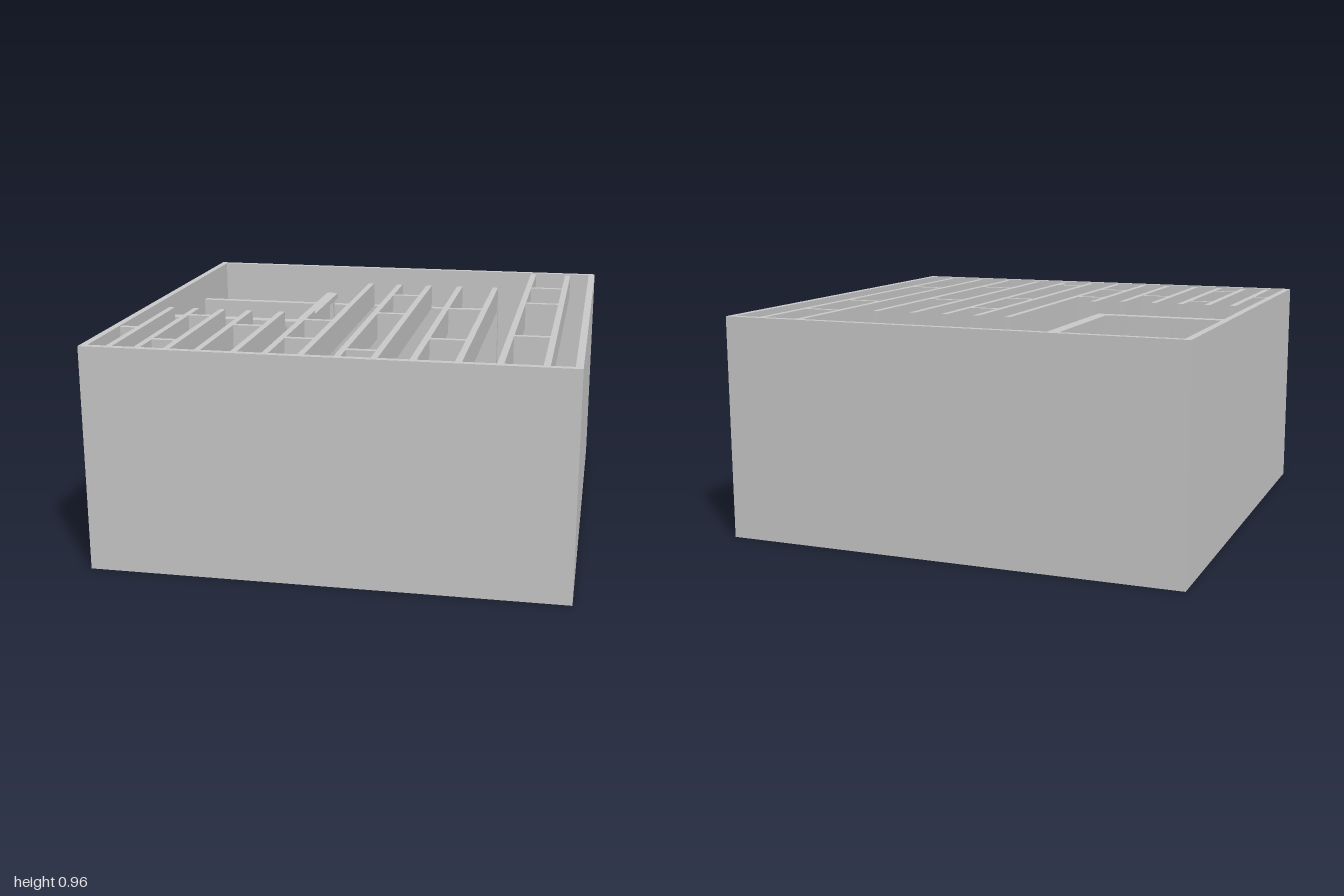
import * as THREE from 'three';

const mat = new THREE.MeshStandardMaterial({ color: 0xcccccc, flatShading: true, side: THREE.DoubleSide });

function add(parent, name, geometry) {
  const mesh = new THREE.Mesh(geometry, mat);
  mesh.name = name;
  parent.add(mesh);
  return mesh;
}

// Box given by its extents along each axis
function span(parent, name, x0, x1, y0, y1, z0, z1) {
  const m = add(parent, name, new THREE.BoxGeometry(x1 - x0, y1 - y0, z1 - z0));
  m.position.set((x0 + x1) / 2, (y0 + y1) / 2, (z0 + z1) / 2);
  return m;
}

function group(parent, name) {
  const g = new THREE.Group();
  g.name = name;
  parent.add(g);
  return g;
}

const FLOOR = 0.04, TOP = 0.96, CEILING = 0.84, IN = 0.97;

export function createModel() {
  const model = new THREE.Group();
  model.name = 'basement';

  // Outer shell: four walls as one ring, and the floor slab
  const ring = new THREE.Shape([[-1, -1], [1, -1], [1, 1], [-1, 1]].map(p => new THREE.Vector2(...p)));
  ring.holes.push(new THREE.Path([[-IN, -IN], [-IN, IN], [IN, IN], [IN, -IN]].map(p => new THREE.Vector2(...p))));
  const walls = new THREE.ExtrudeGeometry(ring, { depth: TOP, bevelEnabled: false });
  add(model, 'outerWalls', walls.rotateX(-Math.PI / 2));
  span(model, 'floor', -IN, IN, 0, FLOOR, -IN, IN);

  // Wall beside the stairs
  span(model, 'stairWall', -IN, 0.54, FLOOR, CEILING, -0.602, -0.565);

  // Ceiling joists: [centre x, back end z]
  const joists = group(model, 'joists');
  const rows = [
    [-0.887, 0.18], [-0.77, 0.18], [-0.646, 0.18], [-0.518, 0.18], [-0.368, 0.18],
    [-0.24, 0.13], [-0.095, -0.565], [0.05, -0.565], [0.197, -0.565], [0.35, -0.565],
    [0.526, -0.565], [0.687, -IN], [0.863, -IN],
  ];
  const half = 0.0135;
  for (const [x, z] of rows) span(joists, 'joist', x - half, x + half, CEILING, 0.955, z, IN);

  // Blocking between neighbouring joists: index of the joist on the right, then z positions
  const blocking = group(model, 'blocking');
  const blocks = [
    [0, 0.6], [2, 0.32, 0.8], [4, 0.477], [6, 0.32, 0.675],
    [8, -0.295, 0.126, 0.83], [10, -0.03, 0.585], [12, -0.594, -0.214, 0.466],
  ];
  for (const [i, ...zs] of blocks) {
    const x0 = i ? rows[i - 1][0] + half : -IN;
    for (const z of zs) span(blocking, 'block', x0, rows[i][0] - half, CEILING, 0.955, z - half, z + half);
  }

  // Stud partitions: plates fill the bays, studs stand in the gaps
  const partition = group(model, 'studPartition');
  const H = 0.9;
  const alongX = (name, a, b, y0, y1) => span(partition, name, a, b, y0, y1, 0.08, 0.132);
  const alongZ = (name, a, b, y0, y1) => span(partition, name, -0.322, -0.268, y0, y1, a, b);
  for (const [a, b] of [[-0.96, -0.865], [-0.84, -0.63], [-0.605, -0.395], [-0.37, -0.268]]) {
    alongX('topPlate', a, b, H - 0.025, H);
    alongX('bottomPlate', a, b, FLOOR, FLOOR + 0.025);
  }
  for (const [a, b] of [[-IN, -0.96], [-0.865, -0.84], [-0.63, -0.605], [-0.395, -0.37]]) {
    alongX('stud', a, b, FLOOR, H);
  }
  for (const [a, b] of [[-0.565, -0.477], [-0.45, -0.375], [0.02, 0.11]]) {
    alongZ('topPlate', a, b, H - 0.025, H);
    alongZ('bottomPlate', a, b, FLOOR, FLOOR + 0.025);
  }
  for (const [a, b] of [[-0.477, -0.45], [-0.375, -0.343], [-0.343, -0.31], [-0.045, -0.013], [-0.013, 0.02]]) {
    alongZ('stud', a, b, FLOOR, H);
  }
  alongZ('doorHeader', -0.31, -0.045, H - 0.14, H);

  // Stairs rising toward the right-hand landing, each tread with a nosing
  const stairs = group(model, 'stairs');
  const edges = [0.535, 0.445, 0.365, 0.285, 0.205, 0.075];
  const rise = 0.09;
  for (let i = 0; i < 5; i++) {
    const y = FLOOR + (i + 1) * rise;
    span(stairs, 'tread', edges[i + 1], edges[i], y - 0.02, y, -IN, -0.602);
    span(stairs, 'riser', edges[i] - 0.022, edges[i] - 0.012, y - rise, y - 0.02, -IN, -0.602);
  }
  const landing = FLOOR + 6 * rise;
  span(stairs, 'landing', -IN, edges[5], landing - 0.03, landing, -IN, -0.602);
  span(stairs, 'topRiser', edges[5] - 0.01, edges[5], landing - rise, landing, -IN, -0.602);

  // Sloping handrail on the back wall
  const from = new THREE.Vector2(0.03, 0.74), to = new THREE.Vector2(0.58, 0.25);
  const rail = add(stairs, 'handrail', new THREE.BoxGeometry(from.distanceTo(to), 0.025, 0.014));
  rail.position.set((from.x + to.x) / 2, (from.y + to.y) / 2, -0.96);
  rail.rotation.z = Math.atan2(to.y - from.y, to.x - from.x);

  // Chair against the left wall
  const chair = group(model, 'chair');
  span(chair, 'seat', 0.75, 0.945, 0.2, 0.225, -0.09, 0.085);
  span(chair, 'backrest', 0.925, 0.935, 0.3, 0.42, -0.09, 0.085);
  for (const z of [-0.082, 0.077]) {
    span(chair, 'frontLeg', 0.755, 0.77, FLOOR, 0.2, z - 0.008, z + 0.008);
    span(chair, 'backLeg', 0.918, 0.933, FLOOR, 0.42, z - 0.008, z + 0.008);
  }

  // Small six-sided can and a floor drain
  const profile = [[0, 0], [0.027, 0], [0.027, 0.08], [0.016, 0.08], [0.016, 0.02], [0, 0.02]];
  const can = add(model, 'can', new THREE.LatheGeometry(profile.map(p => new THREE.Vector2(...p)), 6));
  can.position.set(0.643, FLOOR, 0.168);
  const drain = add(model, 'drain', new THREE.CylinderGeometry(0.012, 0.012, 0.02, 8));
  drain.position.set(0.138, FLOOR + 0.01, 0.22);

  // Loose pieces of timber on the floor
  const scraps = group(model, 'scraps');
  for (const [x, z, l, w, turn] of [[-0.155, 0.795, 0.1, 0.045, 0.45], [-0.205, 0.715, 0.045, 0.04, 0], [-0.19, 0.76, 0.1, 0.025, 0.3], [-0.08, 0.815, 0.04, 0.03, 0.3]]) {
    const s = add(scraps, 'scrap', new THREE.BoxGeometry(w, 0.03, l));
    s.position.set(x, FLOOR + 0.015, z);
    s.rotation.y = turn;
  }
  return model;
}
